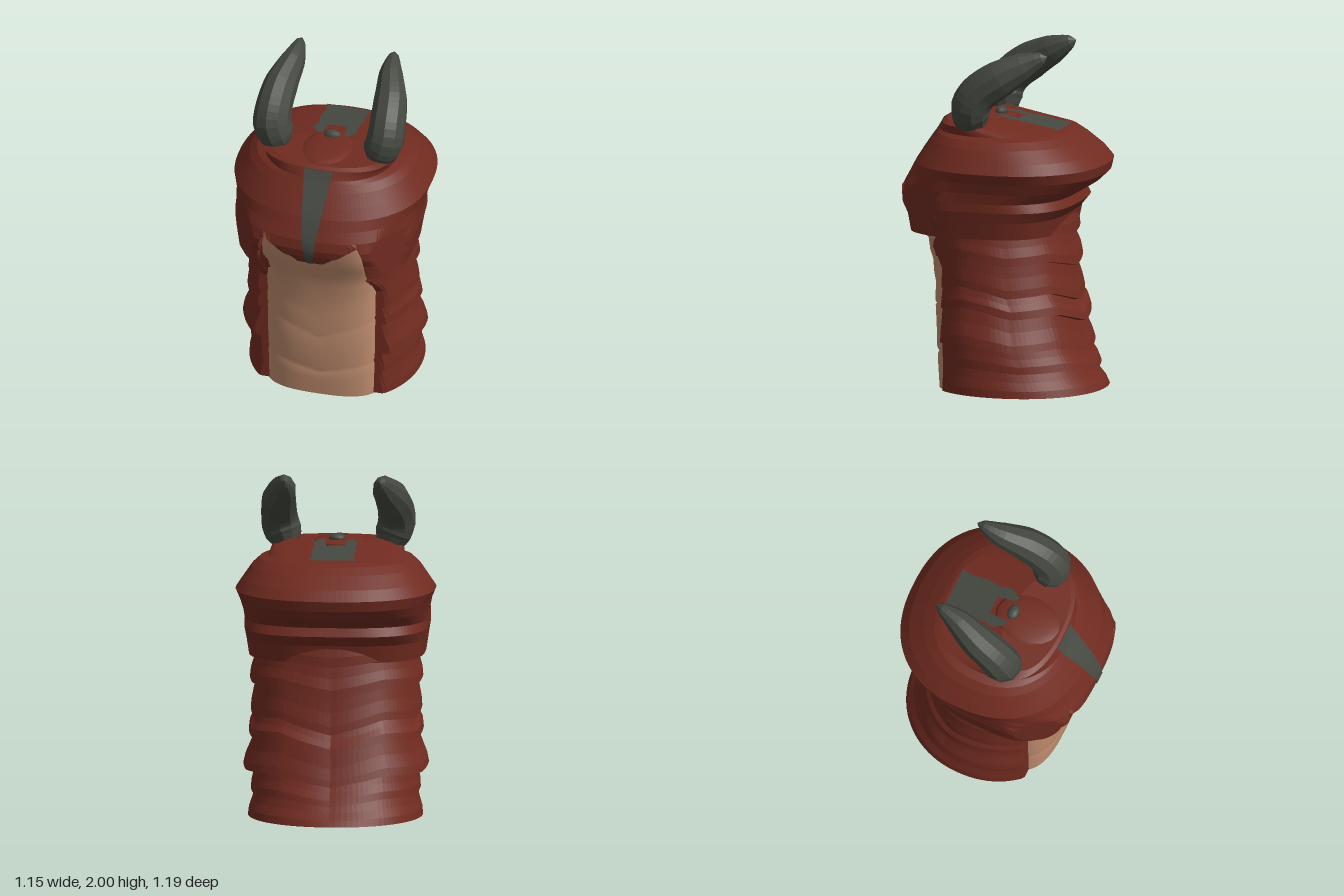
import * as THREE from 'three';

const mat = (name, color, side = THREE.FrontSide) => {
  const m = new THREE.MeshStandardMaterial({ color, side });
  m.name = name;
  return m;
};

// Lofts rounded rings [y, halfWidth, zFront, zBack, power] from bottom to top; edit(p, angle) reshapes points.
function loft(rows, { segs = 72, edit, bottom = true, top = true, flat = true }) {
  const pos = [], index = [], p = new THREE.Vector3();
  for (const [y, w, zf, zb, power] of rows) {
    const bend = (v) => Math.sign(v) * Math.abs(v) ** (2 / power);
    for (let j = 0; j < segs; j++) {
      const a = (j / segs) * Math.PI * 2;
      p.set(w * bend(Math.sin(a)), y, (zf + zb) / 2 + ((zf - zb) / 2) * bend(Math.cos(a)));
      edit(p, a);
      pos.push(p.x, p.y, p.z);
    }
  }
  for (let i = 0; i < rows.length - 1; i++) {
    for (let j = 0; j < segs; j++) {
      const a = i * segs + j, b = i * segs + ((j + 1) % segs);
      index.push(a, b, a + segs, b, b + segs, a + segs);
    }
  }
  // Caps use their own copy of the ring so the rim stays sharp
  const cap = (i, up) => {
    const [y, , zf, zb] = rows[i];
    const c = pos.length / 3;
    pos.push(0, y, (zf + zb) / 2, ...pos.slice(i * segs * 3, (i + 1) * segs * 3));
    for (let j = 0; j < segs; j++) {
      const a = c + 1 + j, b = c + 1 + ((j + 1) % segs);
      index.push(c, up ? a : b, up ? b : a);
    }
  };
  if (bottom) cap(0, false);
  if (top) cap(rows.length - 1, true);
  let geo = new THREE.BufferGeometry();
  geo.setAttribute('position', new THREE.Float32BufferAttribute(pos, 3));
  geo.setIndex(index);
  if (flat) geo = geo.toNonIndexed();
  geo.computeVertexNormals();
  return geo;
}

export function createModel() {
  const group = new THREE.Group();
  const red = mat('scaleRed', 0x702b20, THREE.DoubleSide);
  const tan = mat('bellyTan', 0xbf8c6e);
  const dark = mat('hornGrey', 0x444840, THREE.DoubleSide);
  const add = (name, geo, material) => {
    const m = new THREE.Mesh(geo, material);
    m.name = name;
    group.add(m);
    return m;
  };

  // Neck: overlapping rows of scales whose edges zigzag and dip to a V at the back
  const edges = [0.006, 0.16, 0.3, 0.5, 0.62, 0.8, 0.95, 1.1];
  const flare = [[0.035, 0.05], [0.02, 0.04], [0.065, 0.03], [0.035, 0.05], [0.025, 0.03], [0.03, 0.04], [0.035, 0.035]];
  const neckRows = [];
  flare.forEach(([side, back], i) => {
    const lo = edges[i], hi = edges[i + 1];
    const ring = (y, k) => neckRows.push(
      [y, 0.468 + side * k, 0.44, -0.36 - 0.17 * Math.max(0, 1 - y) ** 1.6 - back * k, 2.1]);
    ring(lo, 1);
    ring(lo + 0.045, 0.85);
    ring((lo + hi) / 2 + 0.02, 0.35);
    ring(hi - 0.004, 0);
  });
  add('scaledNeck', loft(neckRows, {
    segs: 96,
    edit: (p, a) => {
      const t = Math.abs(a - Math.PI);
      const back = Math.max(0, 1 - t / 1.5);
      const zigzag = Math.abs(((t * 1.6) % 2) - 1) - 0.5;
      const front = 0.29 + 0.09 * THREE.MathUtils.smoothstep(p.y, 0.76, 0.84);
      p.y -= (0.08 * back + 0.05 * zigzag) * Math.sin((Math.PI * (p.y - 0.006)) / 1.1);
      p.z = Math.min(p.z, front);
    },
  }), red);

  // Belly: smooth column with shallow V folds, widening to meet the brow
  const bellyRows = [
    [0, 0.375], [0.1, 0.384], [0.15, 0.386], [0.165, 0.376], [0.18, 0.39], [0.3, 0.394], [0.4, 0.4],
    [0.415, 0.388], [0.43, 0.402], [0.55, 0.398], [0.63, 0.41], [0.72, 0.415], [0.8, 0.435],
    [0.87, 0.445], [0.95, 0.485], [1.03, 0.5], [1.1, 0.525], [1.22, 0.535],
  ].map(([y, zf]) => [y, 0.335, zf, 0, y < 0.9 ? 2.7 : 4.2]);
  add('belly', loft(bellyRows, {
    flat: false,
    edit: (p) => {
      p.y += 0.36 * Math.abs(p.x) * Math.sin((Math.PI * Math.min(p.y, 0.8)) / 0.8);
    },
  }), tan);

  // Hood: overhanging head with a pointed brow and two cheeks framing the belly
  const hoodRows = [
    [0.93, 0.505, 0.535, -0.36, 3], [1.03, 0.52, 0.55, -0.38, 3], [1.09, 0.53, 0.58, -0.43, 3],
    [1.14, 0.53, 0.59, -0.41, 2.8], [1.2, 0.535, 0.58, -0.51, 2.6], [1.26, 0.55, 0.55, -0.575, 2.4],
    [1.32, 0.575, 0.52, -0.59, 2.3], [1.38, 0.535, 0.48, -0.54, 2.3], [1.45, 0.485, 0.43, -0.45, 2.3],
    [1.49, 0.44, 0.4, -0.39, 2.3], [1.505, 0.39, 0.39, -0.36, 2.3], [1.555, 0.375, 0.36, -0.05, 2.3],
    [1.57, 0.31, 0.34, 0.03, 2.3],
  ];
  const browEdge = (x) => {
    if (x < 0.08) return 1.03;
    if (x < 0.29) return 1.03 + ((x - 0.08) / 0.21) * 0.16;
    return 1.19 - Math.min(1, (x - 0.29) / 0.03) * 0.26;
  };
  add('hood', loft(hoodRows, {
    segs: 120,
    bottom: false,
    edit: (p) => {
      const reach = 0.5 - 0.68 * (p.z - 0.3);
      p.x = THREE.MathUtils.clamp(p.x, -reach, reach);
      if (p.z > 0.2) p.y = Math.max(p.y, browEdge(Math.abs(p.x)));
    },
  }), red);

  // Low ridge on the crown
  const crown = add('crownRidge', new THREE.SphereGeometry(1, 16, 8), red);
  crown.scale.set(0.15, 0.03, 0.2);
  crown.position.set(0, 1.562, 0.14);

  // Tapering brow stripe that follows the front of the hood
  const stripePos = [], stripeIndex = [];
  const stripe = [[1.03, 0.018, 0.55], [1.09, 0.025, 0.58], [1.14, 0.032, 0.59], [1.2, 0.04, 0.58],
    [1.26, 0.048, 0.55], [1.32, 0.055, 0.52], [1.38, 0.063, 0.48], [1.45, 0.072, 0.43],
    [1.49, 0.077, 0.4], [1.505, 0.079, 0.39], [1.555, 0.085, 0.36]];
  stripe.forEach(([y, w, z], i) => {
    stripePos.push(-w, y, z + 0.006, w, y, z + 0.006);
    const k = i * 2;
    if (i) stripeIndex.push(k - 2, k - 1, k, k - 1, k + 1, k);
  });
  const stripeGeo = new THREE.BufferGeometry();
  stripeGeo.setAttribute('position', new THREE.Float32BufferAttribute(stripePos, 3));
  stripeGeo.setIndex(stripeIndex);
  stripeGeo.computeVertexNormals();
  add('browStripe', stripeGeo, dark);

  // Pronged patch on top, sloping down towards the back
  const half = [[0.055, 0.08], [0.06, 0.02], [0.065, -0.03], [0.09, -0.04], [0.105, -0.02], [0.13, 0.03],
    [0.115, 0.09], [0.13, 0.18], [0.12, 0.27], [0.135, 0.34]];
  const outline = [...half, ...half.map(([x, y]) => [-x, y]).reverse()];
  const patchGeo = new THREE.ShapeGeometry(new THREE.Shape(outline.map(([x, y]) => new THREE.Vector2(x, y))));
  patchGeo.rotateX(-Math.PI / 2);
  const pp = patchGeo.attributes.position;
  for (let i = 0; i < pp.count; i++) pp.setY(i, 1.572 + 0.17 * (pp.getZ(i) + 0.05));
  patchGeo.computeVertexNormals();
  add('crownPatch', patchGeo, dark);

  // Small tuft in front of the patch
  const tuft = add('tuft', new THREE.IcosahedronGeometry(1, 1), dark);
  tuft.scale.set(0.05, 0.028, 0.035);
  tuft.position.set(0, 1.592, 0.045);

  // Horns: faceted tubes with a rounded foot that sweep up and back to a blunt tip
  const spine = [[0.295, 1.555, 0.115], [0.312, 1.6, 0.128], [0.336, 1.67, 0.128], [0.338, 1.75, 0.08],
    [0.325, 1.835, -0.035], [0.29, 1.915, -0.18], [0.278, 1.965, -0.285], [0.275, 1.975, -0.315]];
  const radii = [0.08, 0.11, 0.115, 0.113, 0.11, 0.083, 0.038, 0.004];
  for (const side of [1, -1]) {
    const curve = new THREE.CatmullRomCurve3(spine.map(([x, y, z]) => new THREE.Vector3(side * x, y, z)));
    const rings = 22, sides = 10;
    const tube = new THREE.TubeGeometry(curve, rings, 1, sides, false);
    const tp = tube.attributes.position, v = new THREE.Vector3();
    for (let i = 0; i <= rings; i++) {
      const c = curve.getPointAt(i / rings);
      const t = curve.getUtoTmapping(i / rings) * (radii.length - 1);
      const k = Math.min(Math.floor(t), radii.length - 2);
      const r = THREE.MathUtils.lerp(radii[k], radii[k + 1], t - k);
      for (let j = 0; j <= sides; j++) {
        const n = i * (sides + 1) + j;
        v.fromBufferAttribute(tp, n).sub(c).multiplyScalar(r);
        tp.setXYZ(n, c.x + v.x * (1 - 0.2 * (i / rings)), c.y + v.y, c.z + v.z);
      }
    }
    const geo = tube.toNonIndexed();
    geo.computeVertexNormals();
    add(side > 0 ? 'leftHorn' : 'rightHorn', geo, dark);
  }

  return group;
}
